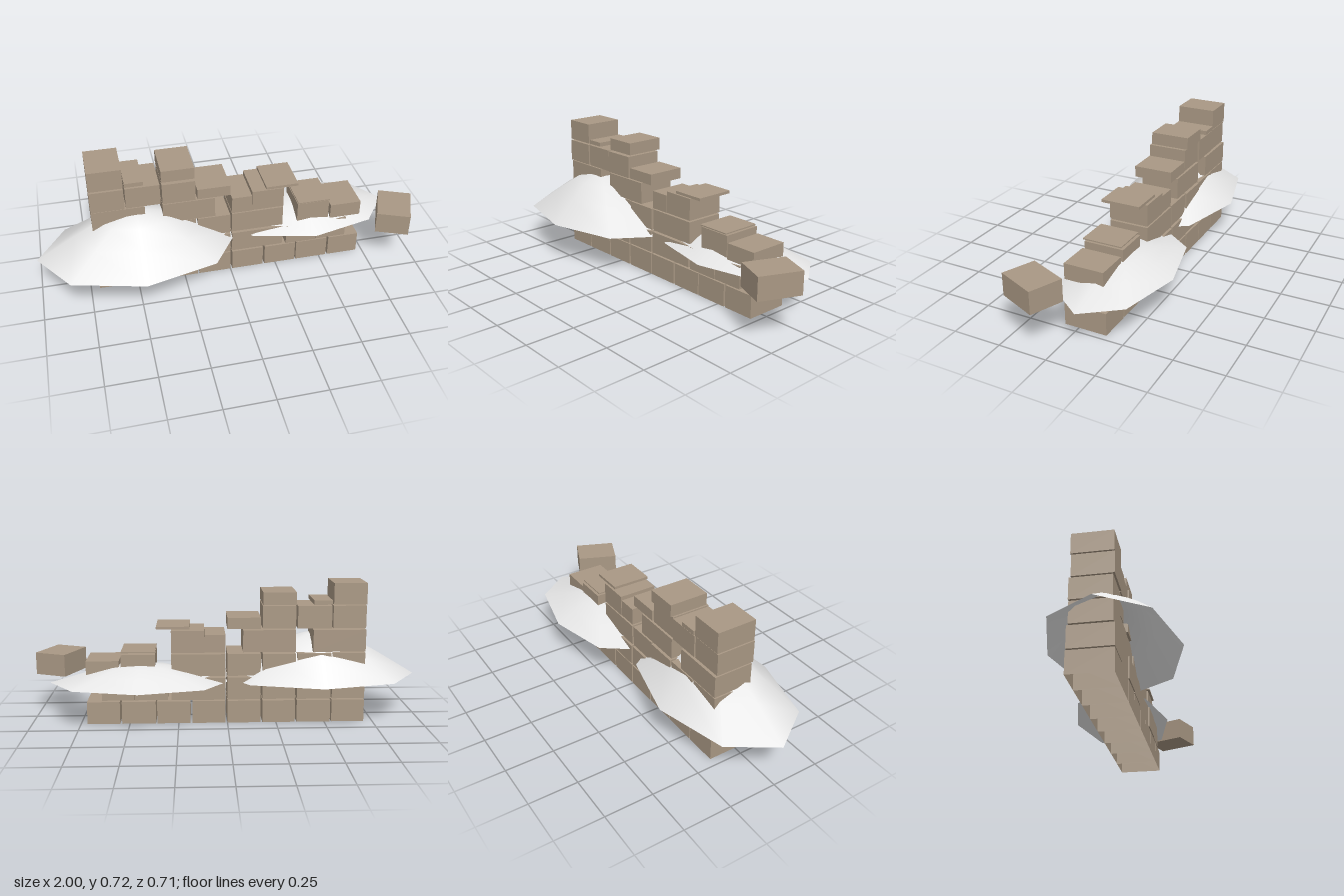
import * as THREE from 'three';

const stone = new THREE.MeshStandardMaterial({ color: 0xa99884, side: THREE.DoubleSide });
stone.name = 'sandy stone';
const snow = new THREE.MeshStandardMaterial({ color: 0xe8e8e8, side: THREE.DoubleSide });
snow.name = 'pale drift';

// Each course: base height, back and front z, then blocks as [left x, right x, top y]
const courses = [
  { y: 0, z: [-0.147, 0.075], open: true, blocks: [
    [-0.705, -0.537, 0.116], [-0.53, -0.357, 0.116], [-0.348, -0.18, 0.116], [-0.17, 0.0, 0.116],
    [0.01, 0.18, 0.116], [0.19, 0.36, 0.116], [0.367, 0.54, 0.116], [0.55, 0.717, 0.116]] },
  { y: 0.123, z: [-0.145, 0.075], blocks: [
    [-0.705, -0.537, 0.238], [-0.53, -0.357, 0.238], [-0.348, -0.18, 0.238], [-0.17, 0.0, 0.238],
    [0.01, 0.285, 0.238], [0.305, 0.475, 0.238], [0.477, 0.64, 0.238]] },
  { y: 0.246, z: [-0.141, 0.065], blocks: [
    [-0.705, -0.537, 0.36], [-0.53, -0.357, 0.36], [-0.348, -0.18, 0.36], [-0.17, 0.0, 0.36],
    [0.01, 0.285, 0.36], [0.367, 0.54, 0.36], [0.55, 0.717, 0.328]] },
  { y: 0.368, z: [-0.138, 0.068], blocks: [
    [-0.705, -0.437, 0.481], [-0.348, -0.08, 0.481], [0.01, 0.115, 0.46],
    [0.117, 0.285, 0.481], [0.367, 0.54, 0.374]] },
  { y: 0.488, z: [-0.132, 0.072], blocks: [
    [-0.705, -0.537, 0.603], [-0.53, -0.357, 0.603], [-0.348, -0.18, 0.603],
    [-0.17, 0.0, 0.545], [0.19, 0.36, 0.502]] },
  { y: 0.61, z: [-0.14, 0.066], blocks: [
    [-0.705, -0.537, 0.718], [-0.53, -0.437, 0.632], [-0.348, -0.18, 0.674]] },
];

function block(w, h, d, open) {
  const geo = new THREE.BoxGeometry(w, h, d);
  if (open) {
    // Drop the underside (face group 3) of the hollow bottom course
    const idx = Array.from(geo.index.array);
    idx.splice(18, 6);
    geo.setIndex(idx);
    geo.clearGroups();
  }
  return new THREE.Mesh(geo, stone);
}

// Eight-sided mound with a shallow rim, stretched to an oval
function drift(name, x, z, rx, rz, h) {
  const profile = [[1, 0], [0.62, 0.51], [0.36, 0.83], [0.14, 0.96], [0, 1]]
    .map(([r, t]) => new THREE.Vector2(r, t));
  const mesh = new THREE.Mesh(new THREE.LatheGeometry(profile, 8).scale(rx, h, rz), snow);
  mesh.name = name;
  mesh.position.set(x, 0.21, z);
  return mesh;
}

export function createModel() {
  const model = new THREE.Group();
  model.name = 'ruinedWall';

  // Stacked courses with a crumbling top edge
  courses.forEach(({ y, z, open, blocks }, row) => {
    const course = new THREE.Group();
    course.name = `wallCourse${row + 1}`;
    blocks.forEach(([x0, x1, top], i) => {
      const b = block(x1 - x0, top - y, z[1] - z[0], open);
      const shift = row === 0 ? 0 : ((i * 2 + row) % 3 - 1) * 0.003;
      b.position.set((x0 + x1) / 2, (y + top) / 2, (z[0] + z[1]) / 2 + shift);
      b.name = `wallBlock${i + 1}`;
      course.add(b);
    });
    model.add(course);
  });

  // Loose block lying beside the wall
  const fallen = block(0.173, 0.116, 0.218);
  fallen.name = 'fallenBlock';
  fallen.position.set(0.882, 0.273, 0.13);
  fallen.rotation.y = -0.4;
  model.add(fallen);

  // Drifts piled through the wall
  model.add(drift('largeDrift', -0.48, 0.032, 0.52, 0.32, 0.235));
  model.add(drift('smallDrift', 0.445, -0.098, 0.46, 0.258, 0.1));
  return model;
}
